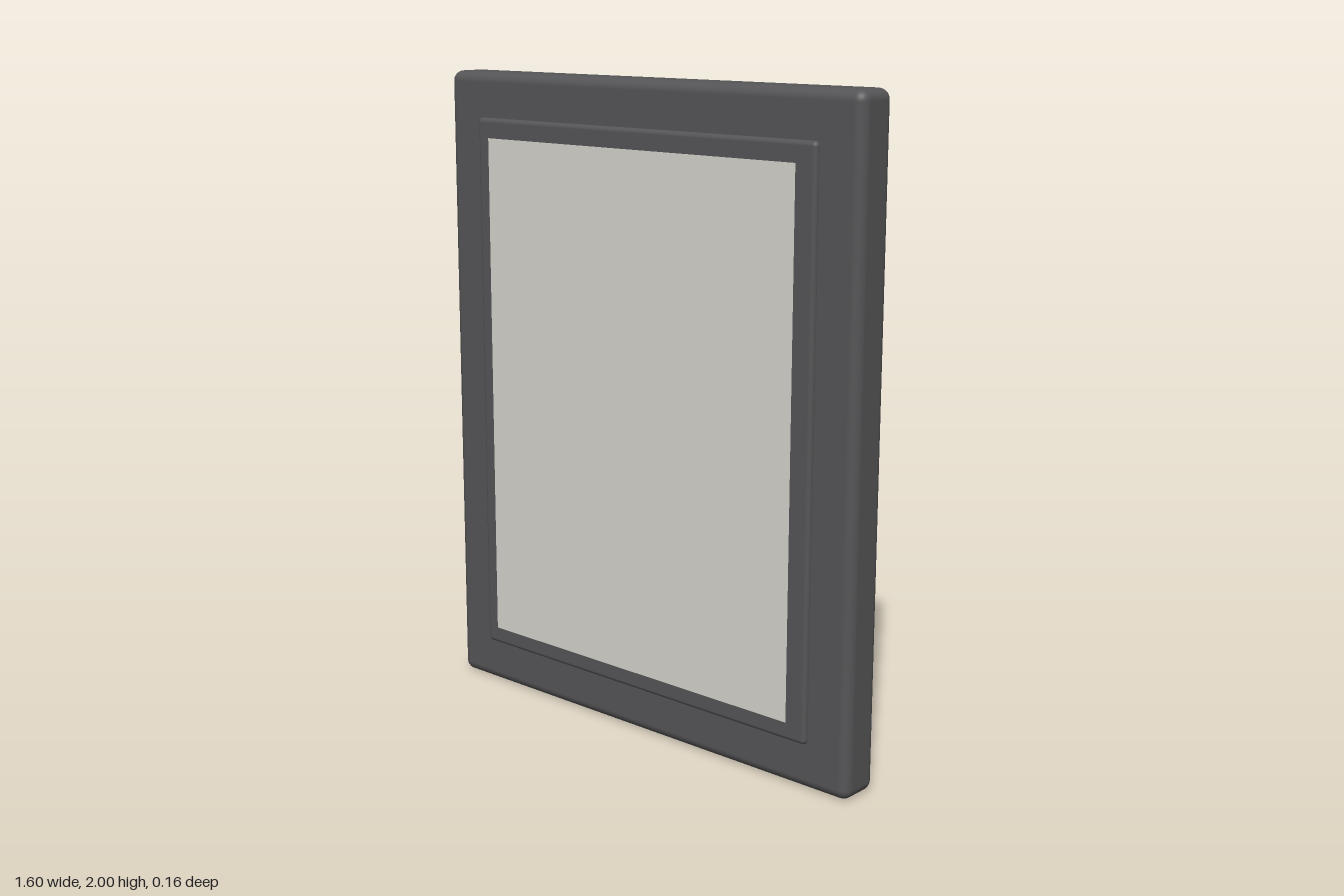
import * as THREE from 'three';
import { RoundedBoxGeometry } from 'three/addons/geometries/RoundedBoxGeometry.js';

export function createModel() {
  const model = new THREE.Group();
  model.name = 'tablet';
  const dark = new THREE.MeshStandardMaterial({ color: 0x555557 });
  const pale = new THREE.MeshStandardMaterial({ color: 0xd4d3cc, side: THREE.DoubleSide });

  const add = (name, geometry, material, z) => {
    const mesh = new THREE.Mesh(geometry, material);
    mesh.name = name;
    mesh.position.set(0, 1, z);
    model.add(mesh);
  };

  // Rounded slab: z from -0.083 to 0.054
  add('body', new RoundedBoxGeometry(1.6, 2, 0.137, 5, 0.032), dark, -0.0145);
  // Raised border around the screen, sunk into the slab
  add('bezel', new RoundedBoxGeometry(1.32, 1.72, 0.04, 4, 0.014), dark, 0.049);
  // Thin display sheet just in front of the border
  add('screen', new THREE.PlaneGeometry(1.2, 1.6), pale, 0.081);

  return model;
}
